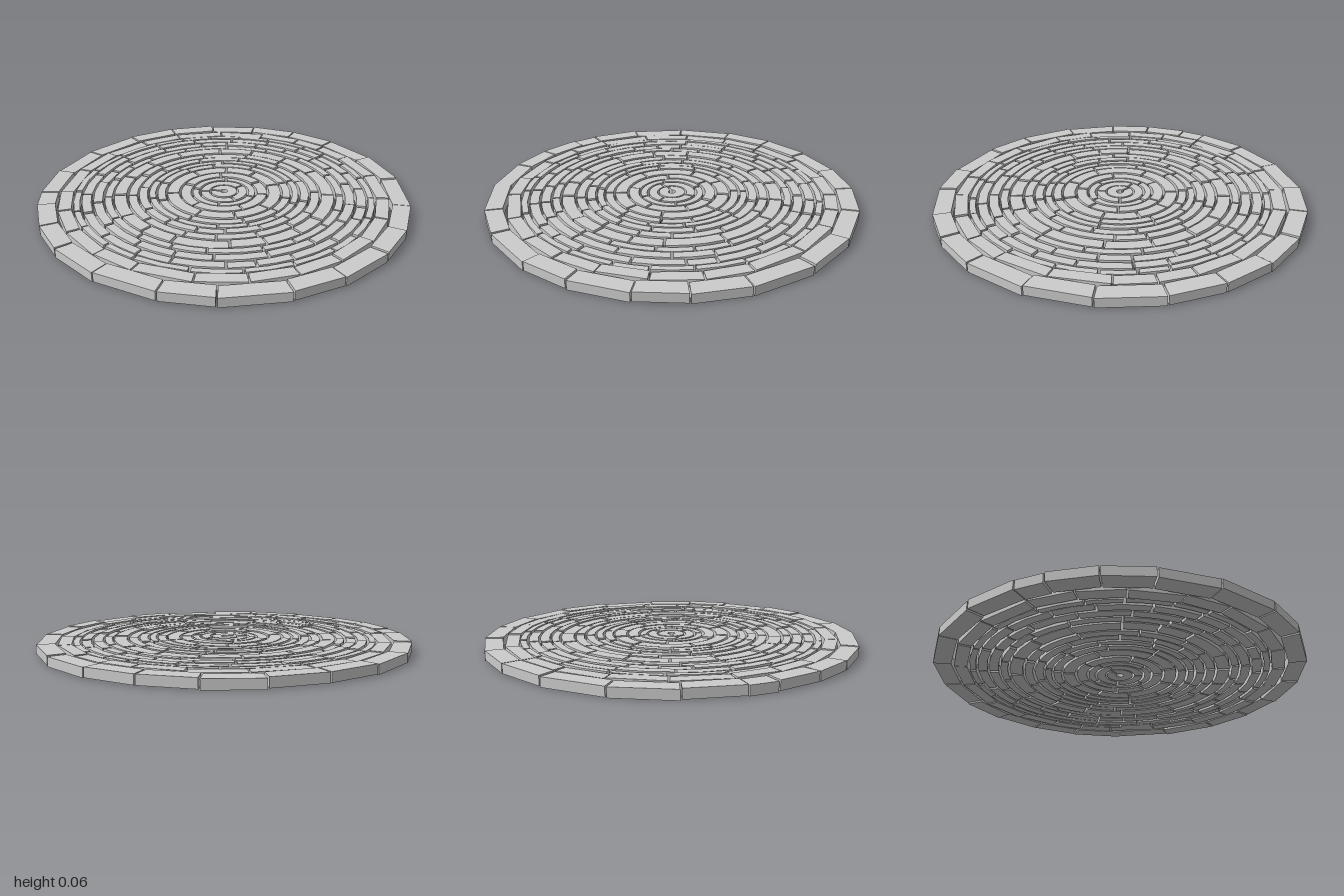
import * as THREE from 'three';

const DEG = Math.PI / 180;
const BASE = 0.006, HEIGHT = 0.049;

// Ring bands [inner radius, outer radius], from the centre outwards
const RINGS = [
  [0.02, 0.07], [0.08, 0.125], [0.137, 0.17], [0.182, 0.235], [0.247, 0.31],
  [0.322, 0.363], [0.375, 0.408], [0.42, 0.463], [0.475, 0.52], [0.532, 0.598],
  [0.61, 0.648], [0.66, 0.708], [0.72, 0.768], [0.78, 0.812],
];

// Joint angles in degrees for the two large outer rings
const INNER_RIM = [-171, -152, -136, -121, -106, -90, -74, -59, -40, -21, -8, 4, 20, 38, 57, 73, 90, 108, 127, 142, 157, 174];
const OUTER_RIM = [-179, -160, -145, -125.8, -110.8, -93.4, -79, -63, -43.7, -25.3, -7, 9, 25, 41.3, 57.5, 74, 93, 111, 127.5, 136, 150, 164];

function seeded(seed) {
  return () => {
    seed = (seed * 16807) % 2147483647;
    return seed / 2147483647;
  };
}

// One curved paving stone between two joints, with parallel-sided gaps
function stoneGeometry(r0, r1, a0, a1, gap, segments, height) {
  const points = [];
  const arc = (r, from, to) => {
    for (let i = 0; i <= segments; i++) {
      const a = from + (to - from) * i / segments;
      points.push(new THREE.Vector2(r * Math.cos(a), r * Math.sin(a)));
    }
  };
  const g0 = gap / 2 / r0, g1 = gap / 2 / r1;
  arc(r1, a0 + g1, a1 - g1);
  arc(r0, a1 - g0, a0 + g0);
  const geometry = new THREE.ExtrudeGeometry(new THREE.Shape(points), { depth: height, bevelEnabled: false });
  return geometry.rotateX(-Math.PI / 2);
}

export function createModel() {
  const model = new THREE.Group();
  model.name = 'circularPaving';
  const material = new THREE.MeshStandardMaterial({ color: 0xcccccc, flatShading: true });
  const random = seeded(4217);

  function addRing(name, r0, r1, joints, gap, maxStep) {
    const ring = new THREE.Group();
    ring.name = name;
    joints.forEach((a0, i) => {
      const a1 = i + 1 < joints.length ? joints[i + 1] : joints[0] + Math.PI * 2;
      const segments = Math.max(1, Math.ceil((a1 - a0) / maxStep));
      const stone = new THREE.Mesh(stoneGeometry(r0, r1, a0, a1, gap, segments, HEIGHT), material);
      stone.name = 'stone';
      // Slightly uneven laying
      stone.position.y = BASE + (random() - 0.5) * 0.007;
      ring.add(stone);
    });
    model.add(ring);
  }

  // Inner rings: irregular stones, more of them as the radius grows
  RINGS.forEach(([r0, r1], k) => {
    const count = Math.max(1, Math.round(Math.PI * (r0 + r1) / 0.22));
    const widths = Array.from({ length: count }, () => 0.65 + random() * 0.7);
    const total = widths.reduce((sum, w) => sum + w, 0);
    let angle = k === 0 ? 115 * DEG : random() * Math.PI * 2;
    const joints = widths.map((w) => {
      const start = angle;
      angle += w / total * Math.PI * 2;
      return start;
    });
    addRing('pavingRing' + (k + 1), r0, r1, joints, 0.012, 11 * DEG);
  });

  // Outer rings: straight-faced blocks
  addRing('innerRim', 0.825, 0.893, INNER_RIM.map((a) => a * DEG), 0.008, 25 * DEG);
  addRing('outerRim', 0.907, 1.0, OUTER_RIM.map((a) => a * DEG), 0.007, 25 * DEG);
  return model;
}
